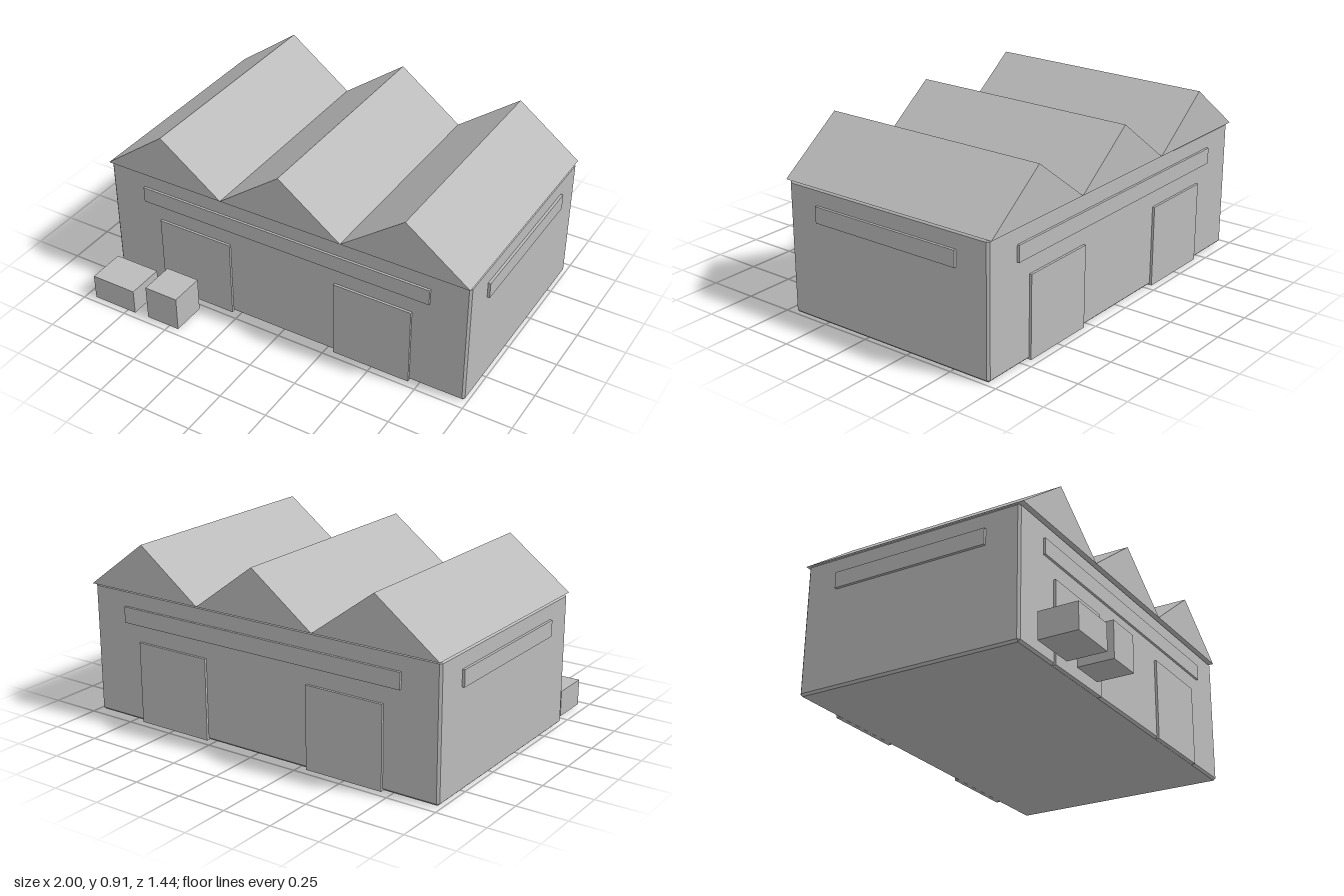
import * as THREE from 'three';
import { ConvexGeometry } from 'three/addons/geometries/ConvexGeometry.js';

// Box with chamfered edges, centred on its own origin
function chamferedBox(w, h, d, c) {
  const pts = [];
  for (const sx of [-1, 1]) for (const sy of [-1, 1]) for (const sz of [-1, 1]) {
    const x = w / 2, y = h / 2, z = d / 2;
    pts.push(
      new THREE.Vector3(sx * x, sy * (y - c), sz * (z - c)),
      new THREE.Vector3(sx * (x - c), sy * y, sz * (z - c)),
      new THREE.Vector3(sx * (x - c), sy * (y - c), sz * z)
    );
  }
  return new ConvexGeometry(pts);
}

export function createModel() {
  const model = new THREE.Group();
  model.name = 'warehouse';
  const grey = new THREE.MeshStandardMaterial({ color: 0xbbbbbb });
  grey.name = 'plain grey';

  const add = (name, geometry, x, y, z) => {
    const mesh = new THREE.Mesh(geometry, grey);
    mesh.name = name;
    mesh.position.set(x, y, z);
    model.add(mesh);
    return mesh;
  };
  // Box given by its lower and upper limits
  const block = (name, x0, x1, y0, y1, z0, z1) =>
    add(name, new THREE.BoxGeometry(x1 - x0, y1 - y0, z1 - z0),
      (x0 + x1) / 2, (y0 + y1) / 2, (z0 + z1) / 2);

  const midZ = -0.123;

  // Main hall
  add('hall', chamferedBox(1.97, 0.662, 1.156, 0.011), 0, 0.331, midZ);

  // Three gabled roof bays, overhanging front and back
  const bay = 1.972 / 3, roofDepth = 1.19;
  const gable = new THREE.Shape();
  gable.moveTo(-bay / 2, 0);
  gable.lineTo(bay / 2, 0);
  gable.lineTo(0, 0.245);
  gable.closePath();
  const roof = new THREE.ExtrudeGeometry(gable, { depth: roofDepth, bevelEnabled: false });
  for (const i of [-1, 0, 1]) add('roofBay', roof, i * bay, 0.663, midZ - roofDepth / 2);

  // Doors and long windows on the front and back walls
  for (const [side, z0, z1] of [['front', 0.445, 0.467], ['back', -0.713, -0.691]]) {
    block(side + 'Window', -0.788, 0.788, 0.497, 0.578, z0, z1);
    for (const x of [-0.495, 0.495]) block(side + 'Door', x - 0.204, x + 0.204, 0, 0.412, z0, z1);
  }

  // Long windows on the end walls
  block('leftWindow', 0.975, 0.998, 0.497, 0.578, -0.528, 0.282);
  block('rightWindow', -0.998, -0.975, 0.497, 0.578, -0.528, 0.282);

  // Crates in front
  block('lowCrate', -0.95, -0.705, 0, 0.132, 0.522, 0.718);
  block('tallCrate', -0.63, -0.448, 0, 0.183, 0.529, 0.711);

  return model;
}
